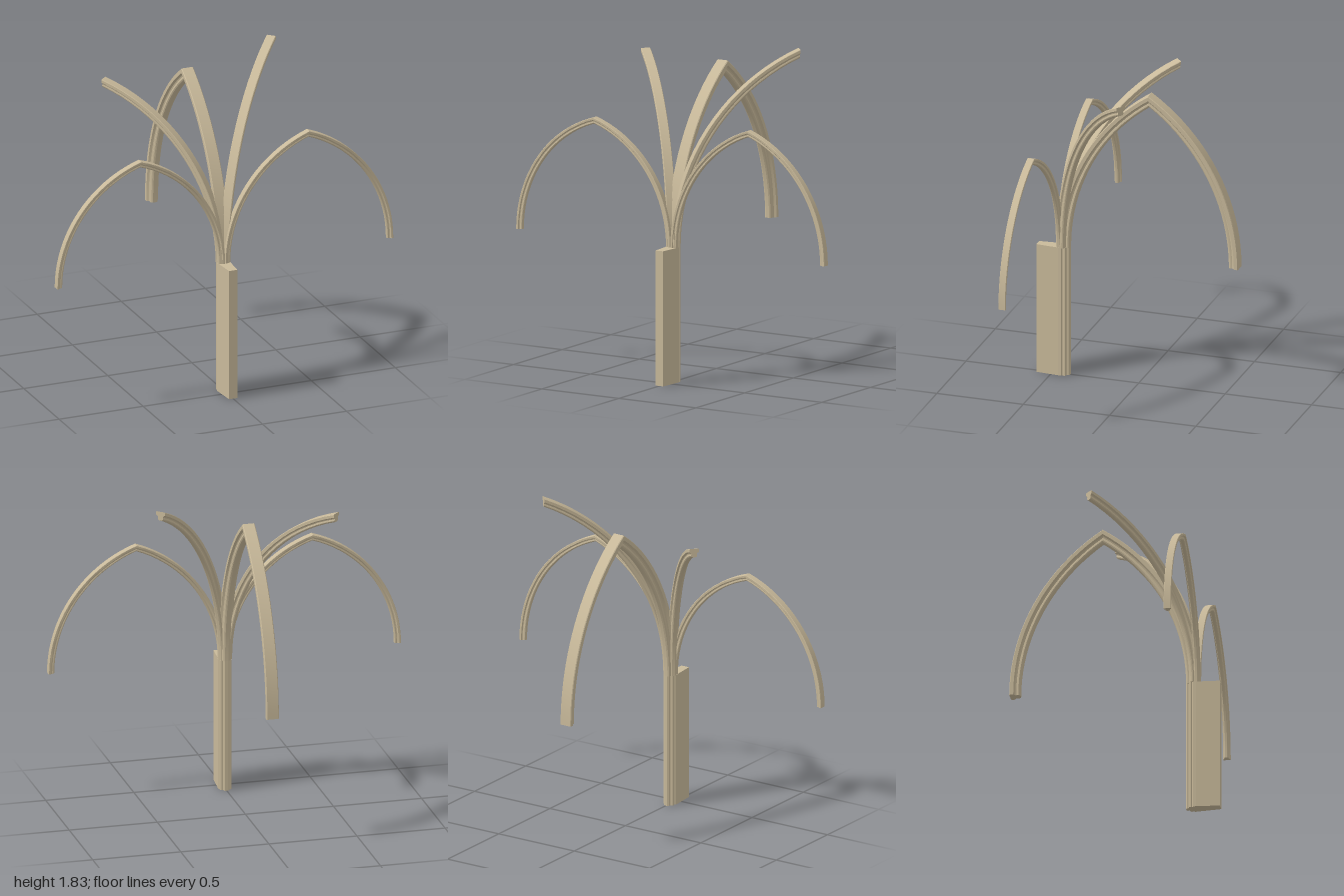
import * as THREE from 'three';
import { toCreasedNormals } from 'three/addons/utils/BufferGeometryUtils.js';

const SPRING = 0.755;   // height where the ribs spring from the pier
const BACK = 0.455;     // z of the springing point

const stone = new THREE.MeshStandardMaterial({ color: 0xc8b99a });
stone.name = 'stone';

// Symmetric moulded section from half outline points [side, depth]
function section(half, width, depth) {
  const right = half.map(([s, d]) => new THREE.Vector2(s * width / 2, d * depth));
  const left = right.map((p) => new THREE.Vector2(-p.x, p.y)).reverse();
  return new THREE.Shape([...right, ...left]);
}

// Flat back, hollow flanks and a roll on the underside
const RIB = [[0.88, 0], [1, 0.06], [1, 0.38], [0.86, 0.42], [0.66, 0.5], [0.56, 0.62],
  [0.62, 0.7], [0.62, 0.82], [0.5, 0.93], [0.28, 1]];

// Half an arch: the section swept on an arc and cut by a vertical plane at the crown
function archHalf(span, rise, width, depth) {
  const geo = new THREE.ExtrudeGeometry(section(RIB, width, depth),
    { depth: 1, steps: 20, bevelEnabled: false });
  const radius = (span * span + rise * rise) / (2 * span);
  const pos = geo.attributes.position;
  for (let i = 0; i < pos.count; i++) {
    const r = radius - pos.getY(i);
    const a = pos.getZ(i) * Math.acos((radius - span) / r);
    pos.setXYZ(i, pos.getX(i), r * Math.sin(a), -(radius - r * Math.cos(a)));
  }
  return toCreasedNormals(geo, 0.45);
}

function makeRib(name, { heading, span, rise, width, depth, full }) {
  const rib = new THREE.Group();
  rib.name = name;
  const geo = archHalf(span, rise, width, depth);
  const near = new THREE.Mesh(geo, stone);
  near.name = name + 'NearHalf';
  rib.add(near);
  if (full) {
    const far = new THREE.Mesh(geo, stone);
    far.name = name + 'FarHalf';
    far.rotation.y = Math.PI;
    far.position.z = -2 * span;
    rib.add(far);
  }
  rib.position.set(0, SPRING, BACK);
  rib.rotation.y = -heading;
  return rib;
}

// Upright prism from a plan whose second coordinate runs towards the back
function upright(name, shape) {
  const geo = new THREE.ExtrudeGeometry(shape, { depth: SPRING, bevelEnabled: false });
  geo.rotateX(-Math.PI / 2);
  const mesh = new THREE.Mesh(toCreasedNormals(geo, 0.45), stone);
  mesh.name = name;
  mesh.position.z = BACK;
  return mesh;
}

export function createModel() {
  const model = new THREE.Group();
  model.name = 'vaultRibs';

  // Fluted pier and the tapered buttress wall in front of it
  const PIER = [[1, 0], [1, 0.28], [0.82, 0.34], [0.78, 0.42], [0.9, 0.5], [0.88, 0.62],
    [0.7, 0.7], [0.5, 0.7], [0.42, 0.78], [0.46, 0.9], [0.25, 1]];
  model.add(upright('pier', section(PIER, 0.072, 0.06)));
  model.add(upright('buttressWall', section([[0.7, -1], [1, 0]], 0.07, 0.13)));

  // Rib running straight back
  model.add(makeRib('crossRib',
    { heading: 0, span: 0.52, rise: 0.96, width: 0.07, depth: 0.06, full: true }));

  // Side arches and half diagonals, each side with its own rise
  const diagonal = Math.atan2(0.5, 0.52);
  for (const [side, sign, wallRise, diagonalRise] of
    [['left', 1, 0.705, 1.075], ['right', -1, 0.675, 0.975]]) {
    model.add(makeRib(side + 'WallRib',
      { heading: sign * Math.PI / 2, span: 0.5, rise: wallRise, width: 0.04, depth: 0.035, full: true }));
    model.add(makeRib(side + 'DiagonalRib',
      { heading: sign * diagonal, span: 0.72, rise: diagonalRise, width: 0.054, depth: 0.047, full: false }));
  }
  return model;
}
